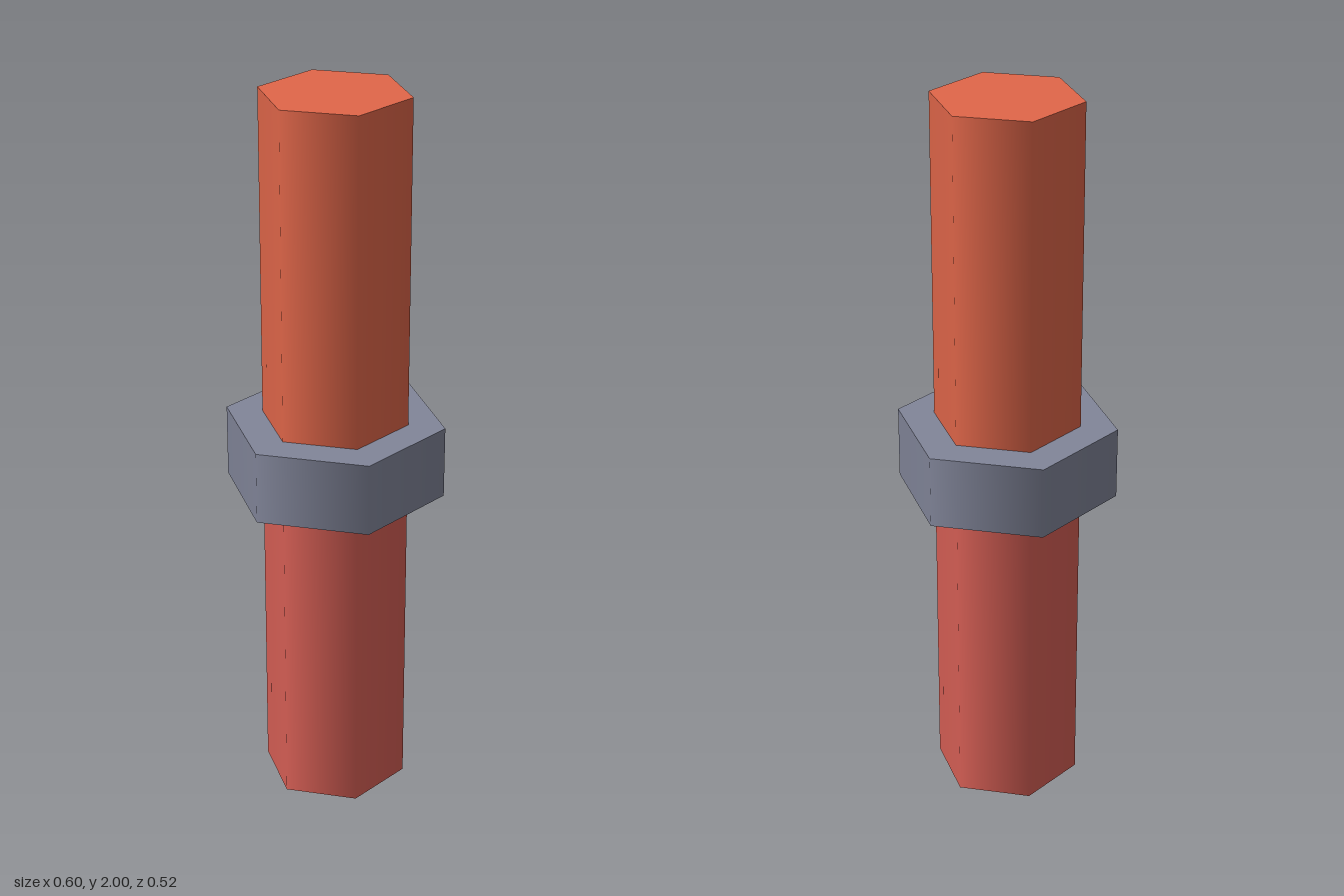
import * as THREE from 'three';

const material = (name, color) => {
  const m = new THREE.MeshStandardMaterial({ color });
  m.name = name;
  return m;
};

// Six-sided prism with corners on the x axis, spanning y from bottom to top
function hexPrism(name, radius, bottom, top, mat) {
  const geometry = new THREE.CylinderGeometry(radius, radius, top - bottom, 6, 1, false, Math.PI / 6);
  const mesh = new THREE.Mesh(geometry, mat);
  mesh.name = name;
  mesh.position.y = (bottom + top) / 2;
  return mesh;
}

export function createModel() {
  const group = new THREE.Group();
  group.name = 'hexRodWithCollar';
  const orange = material('orange', 0xe2674a);
  const red = material('red', 0xd96056);
  const grey = material('blue grey', 0x82869a);

  // Two rod halves meeting inside the collar
  group.add(hexPrism('lowerRod', 0.2, 0, 1, red));
  group.add(hexPrism('upperRod', 0.2, 1, 2, orange));
  group.add(hexPrism('collar', 0.3, 0.9, 1.1, grey));
  return group;
}
